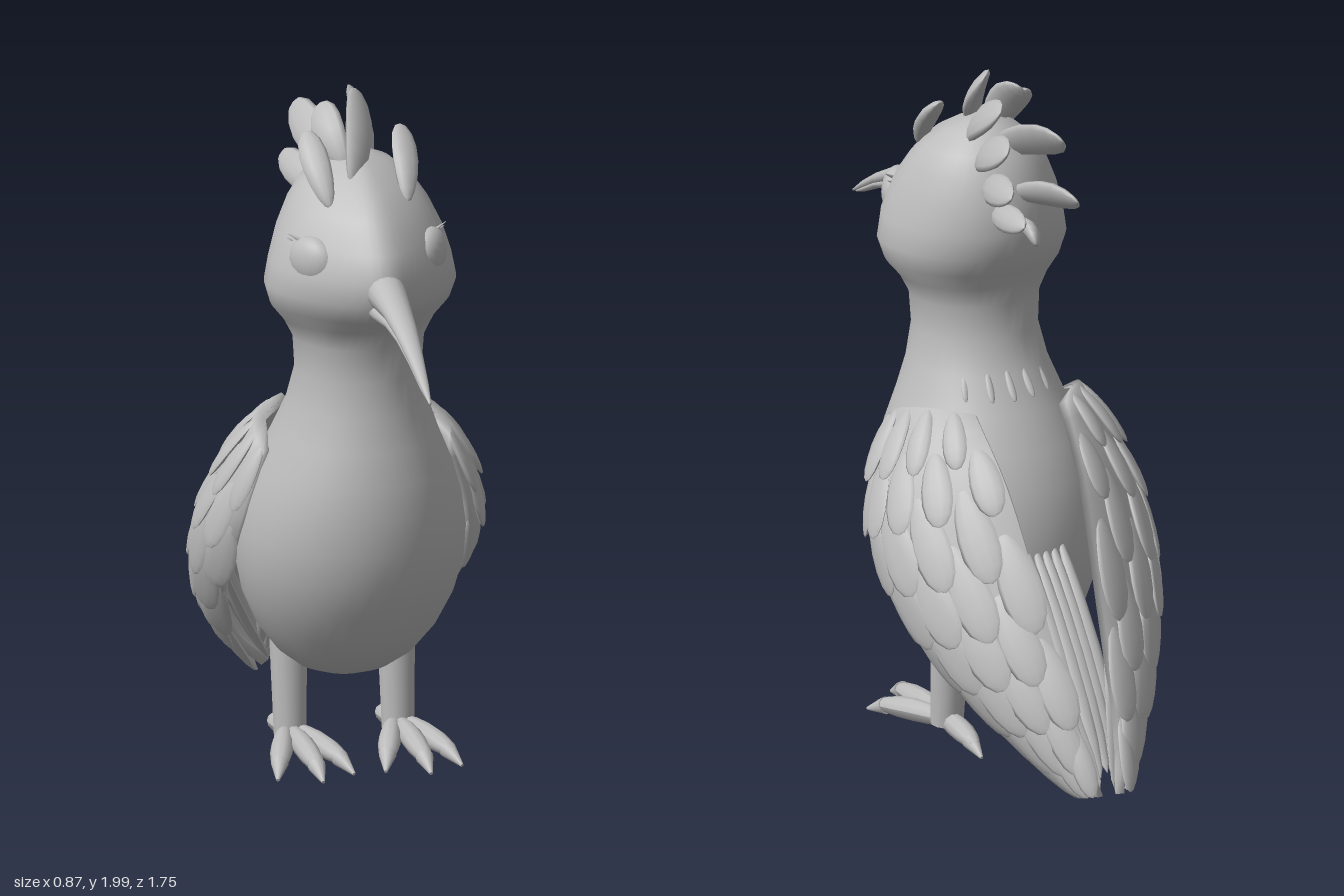
import * as THREE from 'three';

const V = (x, y, z) => new THREE.Vector3(x, y, z);
const grey = new THREE.MeshStandardMaterial({ color: 0xbcbcbc });
grey.name = 'soft grey';

function add(parent, geometry, name) {
  const mesh = new THREE.Mesh(geometry, grey);
  mesh.name = name;
  parent.add(mesh);
  return mesh;
}

// Closed skin over a list of rings, each end closed at its centre
function loft(rings) {
  const n = rings[0].length;
  const collapse = (ring) => {
    const c = ring.reduce((s, p) => s.add(p), V(0, 0, 0)).divideScalar(n);
    return ring.map(() => c);
  };
  const all = [collapse(rings[0]), ...rings, collapse(rings[rings.length - 1])];
  const index = [];
  for (let i = 0; i < all.length - 1; i++) {
    for (let j = 0; j < n; j++) {
      const k = (j + 1) % n;
      const a = i * n + j, b = (i + 1) * n + j, c = i * n + k, d = (i + 1) * n + k;
      index.push(a, b, c, c, b, d);
    }
  }
  const g = new THREE.BufferGeometry().setFromPoints(all.flat());
  g.setIndex(index);
  g.computeVertexNormals();
  return g;
}

const ring = (n, fn) => Array.from({ length: n }, (_, j) => fn((j / n) * Math.PI * 2));

// Leaf-shaped solid from base to tip, fuller towards the tip
function leaf(base, tip, width, thick, normal, curl = 0) {
  const dir = tip.clone().sub(base);
  const length = dir.length();
  dir.normalize();
  const side = dir.clone().cross(normal).normalize();
  const up = side.clone().cross(dir);
  const g = new THREE.SphereGeometry(1, 10, 8);
  const p = g.attributes.position;
  for (let i = 0; i < p.count; i++) {
    const t = (p.getY(i) + 1) / 2;
    p.setXYZ(i, p.getX(i) * width * (0.75 + 0.4 * t), t * length,
      p.getZ(i) * thick + curl * Math.sin(t * Math.PI));
  }
  g.computeVertexNormals();
  return g.applyMatrix4(new THREE.Matrix4().makeBasis(side, dir, up).setPosition(base));
}

// Straight tapered rod from p to q
function rod(p, q, r1, r2) {
  const d = q.clone().sub(p);
  const g = new THREE.CylinderGeometry(r2, r1, d.length(), 12);
  g.translate(0, d.length() / 2, 0);
  g.applyQuaternion(new THREE.Quaternion().setFromUnitVectors(V(0, 1, 0), d.normalize()));
  return g.translate(p.x, p.y, p.z);
}

// Body, neck and head: height, front z, back z, half width
const BODY = [
  [0.245, -0.03, -0.2, 0.08], [0.27, 0.04, -0.25, 0.14], [0.32, 0.12, -0.3, 0.2],
  [0.4, 0.19, -0.345, 0.26], [0.5, 0.25, -0.37, 0.305], [0.6, 0.29, -0.375, 0.328],
  [0.7, 0.307, -0.365, 0.332], [0.8, 0.31, -0.34, 0.315], [0.9, 0.3, -0.295, 0.283],
  [1.0, 0.275, -0.235, 0.24], [1.1, 0.25, -0.17, 0.203], [1.2, 0.235, -0.125, 0.183],
  [1.3, 0.238, -0.12, 0.19], [1.36, 0.27, -0.135, 0.222], [1.41, 0.34, -0.165, 0.262],
  [1.47, 0.39, -0.195, 0.28], [1.54, 0.4, -0.205, 0.266], [1.62, 0.37, -0.2, 0.242],
  [1.7, 0.295, -0.175, 0.205], [1.76, 0.22, -0.14, 0.165], [1.81, 0.125, -0.09, 0.105],
  [1.835, 0.05, -0.03, 0.04],
];
function bodyGeometry() {
  return loft(BODY.map(([y, front, back, w]) => {
    const taper = 0.48 * THREE.MathUtils.smoothstep(y, 1.3, 1.45);
    return ring(40, (a) => {
      const s = Math.sin(a);
      return V(Math.cos(a) * w * (1 - taper * Math.max(0, s) ** 1.5), y,
        (front + back) / 2 + (s * (front - back)) / 2);
    });
  }));
}

// Beak halves: z, centre y, half height, half width
const beak = (rows) => loft(rows.map(([z, y, h, w]) =>
  ring(16, (a) => V(Math.cos(a) * w, y - Math.sin(a) * h, z))));

// Wing surface: u runs shoulder to tip, v runs front edge to back edge
const frontEdge = new THREE.CatmullRomCurve3([
  V(0.27, 0.96, 0.04), V(0.34, 0.7, 0), V(0.33, 0.46, -0.2), V(0.23, 0.24, -0.47), V(0.06, 0.05, -0.78)]);
const crown = new THREE.CatmullRomCurve3([
  V(0.26, 1.02, -0.09), V(0.38, 0.76, -0.2), V(0.335, 0.48, -0.43), V(0.21, 0.26, -0.63), V(0.05, 0.05, -0.82)]);
const backEdge = new THREE.CatmullRomCurve3([
  V(0.14, 1.03, -0.25), V(0.12, 0.86, -0.42), V(0.09, 0.55, -0.6), V(0.065, 0.29, -0.745), V(0.035, 0.05, -0.865)]);
function wingPoint(u, v) {
  return frontEdge.getPoint(u).multiplyScalar((1 - v) * (1 - 2 * v))
    .addScaledVector(crown.getPoint(u), 4 * v * (1 - v))
    .addScaledVector(backEdge.getPoint(u), v * (2 * v - 1));
}
function wingNormal(u, v) {
  const e = 0.02;
  const a = Math.min(u, 1 - e), b = Math.min(v, 1 - e);
  const o = wingPoint(a, b);
  return wingPoint(a + e, b).sub(o).cross(wingPoint(a, b + e).sub(o)).normalize();
}

function buildWing(s) {
  const wing = new THREE.Group();
  wing.name = s > 0 ? 'leftWing' : 'rightWing';
  const flip = V(s, 1, 1);
  const at = (u, v, lift) =>
    wingPoint(u, v).addScaledVector(wingNormal(u, v), lift).multiply(flip);

  // Curved shell under the feathers
  const rings = [];
  for (let i = 0; i <= 16; i++) {
    const r = [];
    for (let j = 0; j <= 8; j++) r.push(at(i / 16, j / 8, 0.008));
    for (let j = 8; j >= 0; j--) r.push(at(i / 16, j / 8, -0.018));
    rings.push(s > 0 ? r : r.reverse());
  }
  add(wing, loft(rings), 'wingShell');

  // Overlapping rows of outer feathers
  const rows = 8, cols = 5;
  for (let r = 0; r < rows; r++) {
    const u = (r / rows) * 0.9;
    const span = wingPoint(u, 0).distanceTo(wingPoint(u, 0.5)) + wingPoint(u, 0.5).distanceTo(wingPoint(u, 1));
    for (let c = 0; c < cols; c++) {
      const v = (c + 0.5 + (r % 2 ? 0.22 : -0.22)) / cols;
      const end = Math.min(1, u + 0.18 + 0.014 * r);
      add(wing, leaf(at(u, v, 0.002), at(end, v, 0.026), (span / cols) * 0.56, 0.014,
        wingNormal(u, v).multiply(flip), 0.006), 'wingFeather');
    }
  }

  // Long flight feathers lining the inside
  for (let i = 0; i < 6; i++) {
    const v = 0.08 + i * 0.168;
    add(wing, leaf(at(0.4, v, -0.02), at(0.99, v, -0.02), 0.032, 0.012,
      wingNormal(0.6, v).multiply(flip), 0.01), 'flightFeather');
  }
  return wing;
}

function buildLeg(s) {
  const leg = new THREE.Group();
  leg.name = s > 0 ? 'leftLeg' : 'rightLeg';
  const x = 0.16 * s;
  add(leg, rod(V(x, 0.4, -0.125), V(x, 0.05, -0.1), 0.058, 0.048), 'shank');
  const heel = V(x, 0.065, -0.14);
  const tips = [V(0.262 * s, 0.04, 0.16), V(x, 0.05, 0.24), V(0.058 * s, 0.04, 0.16), V(x, 0.042, -0.3)];
  tips.forEach((tip, i) => {
    const start = i === 3 ? V(x, 0.06, -0.04) : heel;
    add(leg, leaf(start, tip, 0.034, 0.033, V(0, 1, 0), 0.008), 'toe');
    const out = tip.clone().sub(start).normalize();
    const root = tip.clone().addScaledVector(out, -0.04);
    const point = tip.clone().addScaledVector(out, 0.035);
    point.y = Math.max(0.01, tip.y - 0.025);
    add(leg, rod(root, point, 0.026, 0.005), 'claw');
  });
  return leg;
}

export function createModel() {
  const bird = new THREE.Group();
  bird.name = 'crestedBird';
  add(bird, bodyGeometry(), 'bodyAndHead');

  // Curved bill in two halves
  add(bird, beak([[0.34, 1.515, 0.06, 0.06], [0.4, 1.515, 0.052, 0.054], [0.5, 1.498, 0.034, 0.043],
    [0.6, 1.468, 0.024, 0.034], [0.7, 1.425, 0.019, 0.024], [0.8, 1.374, 0.013, 0.014],
    [0.87, 1.335, 0.004, 0.004]]), 'upperBill');
  add(bird, beak([[0.34, 1.455, 0.035, 0.05], [0.4, 1.46, 0.03, 0.047], [0.5, 1.462, 0.022, 0.037],
    [0.6, 1.444, 0.017, 0.029], [0.7, 1.407, 0.013, 0.02], [0.8, 1.36, 0.009, 0.011],
    [0.85, 1.338, 0.003, 0.003]]), 'lowerBill');

  for (const s of [1, -1]) {
    // Eye with short lashes
    const eye = add(bird, new THREE.SphereGeometry(1, 20, 14), 'eye');
    eye.scale.set(0.046, 0.072, 0.08);
    eye.position.set(0.173 * s, 1.575, 0.205);
    eye.rotation.y = -0.6 * s;
    for (let i = 0; i < 3; i++) {
      add(bird, rod(V(0.2 * s, 1.6 + i * 0.014, 0.14 + i * 0.016),
        V(0.233 * s, 1.615 + i * 0.016, 0.13 + i * 0.016), 0.006, 0.001), 'eyelash');
    }
    bird.add(buildWing(s), buildLeg(s));
    // Front crest pair
    add(bird, leaf(V(0.115 * s, 1.72, 0.18), V(0.14 * s, 1.9, 0), 0.043, 0.024, V(0.3 * s, 0.6, 0.6), 0.012), 'crestFeather');
  }

  // Crest: base, tip, half width, sideways lean of the blade
  const crest = [
    [V(-0.04, 1.77, 0.14), V(0.03, 1.99, -0.08), 0.06, 0.6],
    [V(-0.04, 1.8, 0.06), V(-0.07, 1.95, -0.1), 0.055, -0.6],
    [V(0.02, 1.77, 0.04), V(0.06, 1.94, -0.25), 0.062, 0.9],
    [V(-0.02, 1.75, -0.02), V(-0.08, 1.87, -0.37), 0.062, -0.9],
    [V(0.03, 1.73, -0.05), V(0.1, 1.86, -0.38), 0.062, 0.9],
    [V(0.03, 1.67, -0.1), V(0.12, 1.75, -0.45), 0.05, 0.9],
    [V(-0.02, 1.64, -0.12), V(-0.1, 1.7, -0.43), 0.05, -0.9],
    [V(0.03, 1.6, -0.15), V(0.06, 1.64, -0.41), 0.042, 0.9],
    [V(-0.02, 1.57, -0.16), V(-0.03, 1.54, -0.3), 0.036, -0.9],
  ];
  for (const [base, tip, w, lean] of crest) {
    add(bird, leaf(base, tip, w, 0.022, V(lean, 0.6, 0.2), 0.018), 'crestFeather');
  }

  // Tail fan between the wings
  for (let i = -3; i <= 3; i++) {
    add(bird, leaf(V(i * 0.028, 0.66, -0.33), V(i * 0.026, 0.08 + 0.008 * Math.abs(i), -0.8 + 0.012 * Math.abs(i)),
      0.028, 0.018, V(0, 0.6, -0.8), 0.02), 'tailFeather');
  }

  // Small tufts on the nape and upper back
  for (let i = -2; i <= 2; i++) {
    add(bird, leaf(V(i * 0.055, 1.12, -0.155 + 0.012 * i * i), V(i * 0.065, 1.04, -0.222 + 0.014 * i * i),
      0.012, 0.008, V(0, 0.5, -0.9)), 'napeTuft');
  }
  return bird;
}
